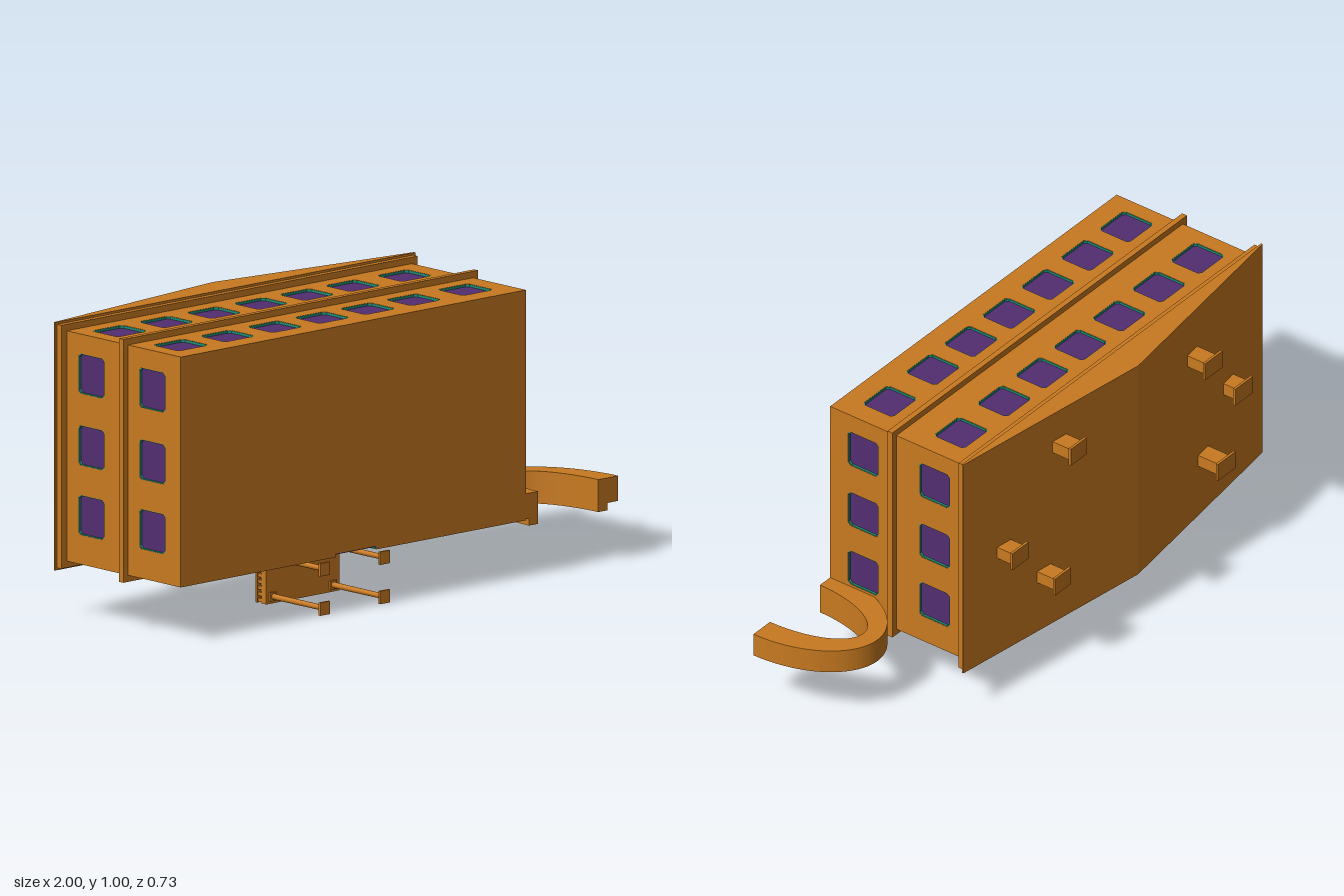
import * as THREE from 'three';

const mat = (name, color) => {
  const m = new THREE.MeshStandardMaterial({ color });
  m.name = name;
  return m;
};

export function createModel() {
  const root = new THREE.Group();
  root.name = 'house';
  const stone = mat('ochre', 0xc87a20);
  const glass = mat('purple', 0x532d70);
  const trim = mat('teal', 0x1f9078);

  const add = (name, geo, m = stone, parent = root) => {
    const mesh = new THREE.Mesh(geo, m);
    mesh.name = name;
    parent.add(mesh);
    return mesh;
  };
  // box given by its limits on each axis
  const box = (name, x0, x1, y0, y1, z0, z1, m = stone, parent = root) =>
    add(name, new THREE.BoxGeometry(x1 - x0, y1 - y0, z1 - z0), m, parent)
      .position.set((x0 + x1) / 2, (y0 + y1) / 2, (z0 + z1) / 2);

  const X0 = -0.965, X1 = 0.585, Y0 = 0.19, Y1 = 0.97, Z0 = -0.2, Z1 = 0.367;
  const T = 0.012; // depth of the window recesses

  // solid core behind the pierced walls
  box('core', X0 + T, X1 - T, Y0 + T, Y1 - T, Z0, Z1);

  const poly = (pts, C = THREE.Shape) => new C(pts.map(([x, y]) => new THREE.Vector2(x, y)));
  // square with clipped corners
  const pane = (u, v, w, h, c) => {
    const a = w / 2, b = h / 2;
    return [[u - a + c, v - b], [u + a - c, v - b], [u + a, v - b + c], [u + a, v + b - c],
      [u + a - c, v + b], [u - a + c, v + b], [u - a, v + b - c], [u - a, v - b + c]];
  };
  const extrude = (shape, depth) => new THREE.ExtrudeGeometry(shape, { depth, bevelEnabled: false });

  // wall with recessed windows; n = outward normal, uAxis = direction along the wall, s = sign of z on the wall
  function wall(name, n, uAxis, dist, s, u0, u1, us, size, door) {
    const g = new THREE.Group();
    g.name = name;
    const v = new THREE.Vector3().crossVectors(n, uAxis);
    g.matrix.makeBasis(uAxis, v, n).setPosition(n.clone().multiplyScalar(dist - T));
    g.matrix.decompose(g.position, g.quaternion, g.scale);
    root.add(g);

    let outline = [[u0, s * Z0], [u1, s * Z0], [u1, s * Z1]];
    if (door) outline.push([door.b, s * Z1], [door.b, s * door.top], [door.a, s * door.top], [door.a, s * Z1]);
    outline.push([u0, s * Z1]);
    const shape = poly(outline);

    for (const z of [-0.07, 0.228]) for (const u of us) {
      if (door && z > 0 && u > door.a && u < door.b) continue;
      const h = 0.127;
      shape.holes.push(poly(pane(u, s * z, size, h, 0.01), THREE.Path));
      const frame = poly(pane(u, s * z, size + 0.008, h + 0.008, 0.01));
      frame.holes.push(poly(pane(u, s * z, size - 0.005, h - 0.005, 0.01), THREE.Path));
      add('windowFrame', extrude(frame, T - 0.001), trim, g);
      add('windowPane', new THREE.BoxGeometry(size, h, 0.004), glass, g).position.set(u, s * z, 0.001);
    }
    add('wallFace', extrude(shape, T), stone, g);

    // door opening down to the ground line
    if (door) {
      const { a, b, top } = door, e = 0.004;
      add('doorFrame', extrude(poly([[a - e, Z1 - 0.001], [a - e, top - e], [b + e, top - e], [b + e, Z1 - 0.001],
        [b - e, Z1 - 0.001], [b - e, top + e], [a + e, top + e], [a + e, Z1 - 0.001]]), T - 0.001), trim, g);
      add('door', new THREE.BoxGeometry(b - a, Z1 - top - 0.002, 0.004), glass, g)
        .position.set((a + b) / 2, (Z1 + top) / 2, 0.001);
    }
  }
  const ax = new THREE.Vector3(1, 0, 0), ay = new THREE.Vector3(0, 1, 0);
  const longUs = [-0.837, -0.628, -0.414, -0.203, 0.003, 0.209, 0.441];
  const shortUs = [0.357, 0.593, 0.836];
  wall('gardenWall', ay, ax, Y1, -1, X0, X1, longUs, 0.137);
  wall('entranceWall', ay.clone().negate(), ax, -Y0, 1, X0, X1, longUs, 0.137,
    { a: -0.27, b: -0.085, top: 0.165 });
  wall('leftWall', ax, ay, X1, 1, Y0 + T, Y1 - T, shortUs, 0.135);
  wall('rightWall', ax.clone().negate(), ay, -X0, -1, Y0 + T, Y1 - T, shortUs, 0.135);

  // string course and cornice
  box('stringCourse', -0.987, 0.607, 0.168, 0.992, 0.09, 0.11);
  box('cornice', -0.99, 0.61, 0.168, 0.992, -0.212, -0.19);

  // gabled roof, ridge running along y
  const roof = extrude(poly([[-1, 0.21], [0.618, 0.21], [0.618, 0.216], [-0.19, 0.322], [-1, 0.216]]), 0.84);
  roof.rotateX(-Math.PI / 2);
  add('roof', roof.translate(0, 0.16, 0));

  // chimneys: x, y, top z, stem base z
  for (const [x, y, top] of [[0.174, 0.868, -0.355], [0.43, 0.569, -0.31], [0.246, 0.38, -0.345],
    [-0.543, 0.824, -0.365], [-0.778, 0.569, -0.31], [-0.613, 0.38, -0.365]]) {
    box('chimney', x - 0.032, x + 0.032, y - 0.022, y + 0.022, top + 0.005, -0.21);
    const w = x > 0 ? 0.043 : 0.047;
    box('chimneyCap', x - w, x + w, y - 0.033, y + 0.033, top, top + 0.009);
  }

  // side arch: half-elliptical bands, the inner one deeper
  const archBand = (name, rx0, rz0, rx1, rz1, y0, y1) => {
    const s = new THREE.Shape();
    s.absellipse(0, 0, rx1, rz1, 0, Math.PI, false);
    s.lineTo(-rx0, 0);
    s.absellipse(0, 0, rx0, rz0, Math.PI, 0, true);
    const g = new THREE.ExtrudeGeometry(s, { depth: y1 - y0, bevelEnabled: false, curveSegments: 32 });
    g.rotateX(-Math.PI / 2);
    add(name, g.translate(0.775, y0, Z1));
  };
  archBand('archOuter', 0.175, 0.3, 0.225, 0.345, 0.195, 0.28);
  archBand('archInner', 0.135, 0.285, 0.176, 0.301, 0.17, 0.28);

  // balcony with balustrade
  const bx0 = -0.345, bx1 = -0.015;
  box('balconyFloor', bx0, bx1, 0, 0.2, 0.088, 0.11);
  box('frontRail', bx0, bx1, 0, 0.018, 0.058, 0.066);
  for (const x of [bx0, bx1 - 0.018]) {
    box('sideRail', x, x + 0.018, 0, 0.2, 0.058, 0.066);
    for (let i = 0; i < 9; i++)
      box('baluster', x + 0.003, x + 0.015, 0.003 + i * 0.021, 0.015 + i * 0.021, 0.06, 0.09);
  }
  for (let i = 1; i < 16; i++) {
    const x = bx0 + 0.009 + i * (bx1 - bx0 - 0.018) / 16;
    box('baluster', x - 0.006, x + 0.006, 0.003, 0.015, 0.06, 0.09);
  }

  // porch columns with square base and capital
  for (const x of [-0.317, -0.048]) for (const y of [0.024, 0.157]) {
    const shaft = new THREE.CylinderGeometry(0.009, 0.01, 0.26, 16).rotateX(Math.PI / 2);
    add('column', shaft).position.set(x, y, 0.235);
    box('columnBase', x - 0.022, x + 0.022, y - 0.022, y + 0.022, 0.36, 0.368);
    box('columnCapital', x - 0.015, x + 0.015, y - 0.015, y + 0.015, 0.11, 0.117);
  }
  return root;
}
